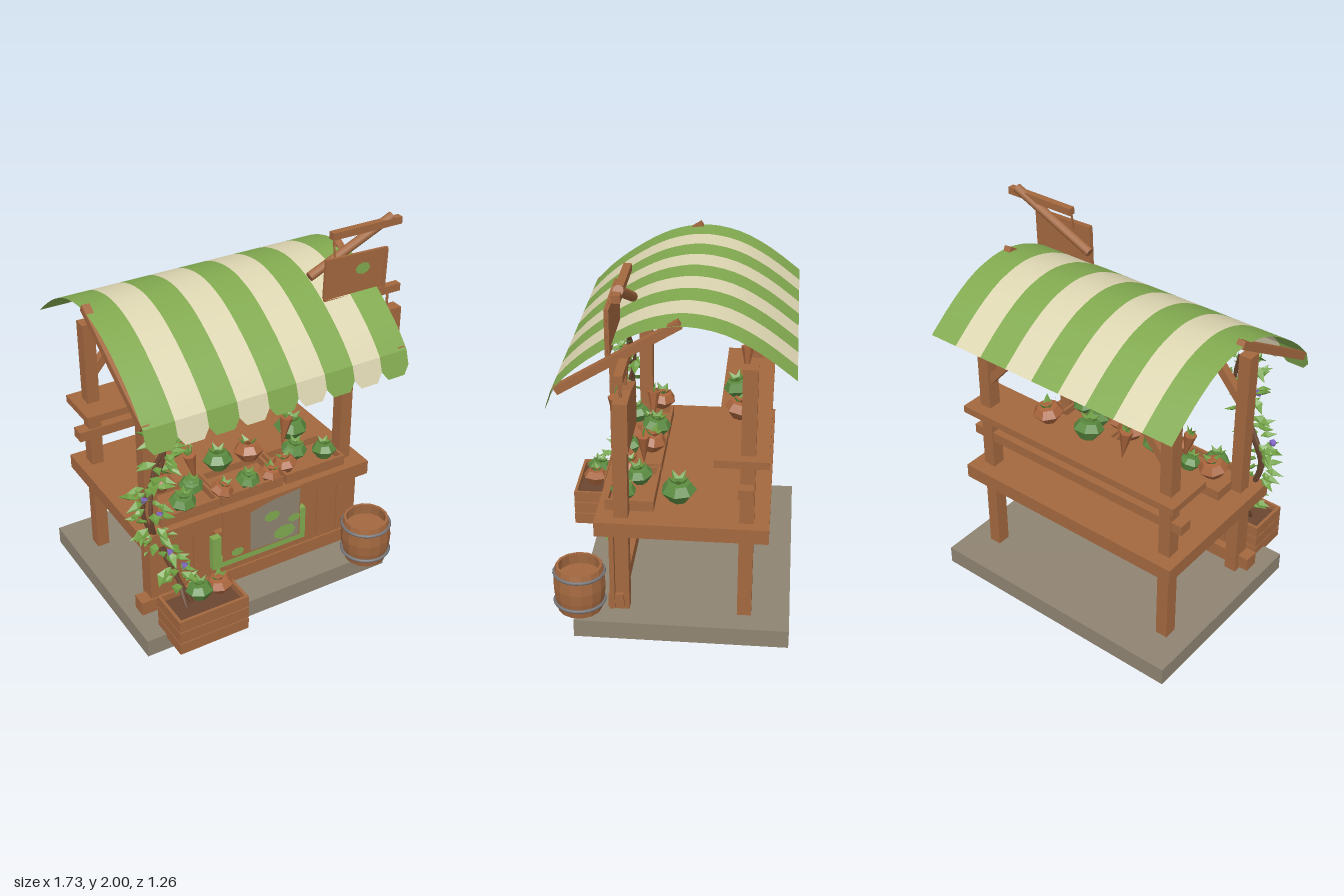
import * as THREE from 'three';

const mat = (name, color, side = THREE.FrontSide) => {
  const m = new THREE.MeshStandardMaterial({ color, side });
  m.name = name;
  return m;
};
const V = (x, y, z) => new THREE.Vector3(x, y, z);

export function createModel() {
  const root = new THREE.Group();
  root.name = 'marketStall';
  const D = THREE.DoubleSide;
  const wood = mat('wood', 0xa3683f), stone = mat('stone', 0x8f8472);
  const green = mat('awningGreen', 0x82aa50, D), cream = mat('awningCream', 0xddd6b2, D);
  const leafMat = mat('leafGreen', 0x6f9f42, D), bulbGreen = mat('vegetableGreen', 0x5a8a40);
  const rootBrown = mat('rootBrown', 0xa8643c), iron = mat('iron', 0x77777a);
  const violet = mat('flowerViolet', 0x8468c8, D), stem = mat('vineBrown', 0x6b4630);

  let seed = 7;
  const rnd = (a, b) => {
    seed = (seed * 16807) % 2147483647;
    return a + (b - a) * seed / 2147483647;
  };
  const add = (name, geo, material, parent = root) => {
    const m = new THREE.Mesh(geo, material);
    m.name = name;
    parent.add(m);
    return m;
  };
  const group = (name, parent = root) => {
    const g = new THREE.Group();
    g.name = name;
    parent.add(g);
    return g;
  };
  // Box given by its limits on each axis
  const box = (name, x0, x1, y0, y1, z0, z1, material = wood, parent = root) => {
    const m = add(name, new THREE.BoxGeometry(x1 - x0, y1 - y0, z1 - z0), material, parent);
    m.position.set((x0 + x1) / 2, (y0 + y1) / 2, (z0 + z1) / 2);
    return m;
  };
  // Square beam or round pole between two points
  const beam = (name, a, b, size, round = false, parent = root) => {
    const len = a.distanceTo(b);
    const geo = round ? new THREE.CylinderGeometry(size / 2, size / 2, len, 10) : new THREE.BoxGeometry(size, len, size);
    const m = add(name, geo, wood, parent);
    m.position.copy(a).lerp(b, 0.5);
    m.quaternion.setFromUnitVectors(V(0, 1, 0), b.clone().sub(a).normalize());
    return m;
  };
  const faceted = g => {
    const n = g.index ? g.toNonIndexed() : g;
    n.computeVertexNormals();
    return n;
  };

  // Frame: base, posts, counter, shelf
  box('base', -0.82, 0.665, 0, 0.1, -0.63, 0.48, stone);
  for (const x of [-0.665, 0.507]) {
    const s = x < 0 ? 1 : -1;
    for (const z of [0.24, -0.395]) {
      box('post', x - 0.034, x + 0.034, 0.1, 1.5, z - 0.037, z + 0.037);
      beam('brace', V(x, 1.18, z), V(x + s * 0.2, 1.41, z), 0.045);
    }
  }
  box('counterTop', -0.76, 0.6, 0.575, 0.655, -0.51, 0.37);
  box('shelf', -0.76, 0.6, 1.0, 1.04, -0.5, -0.23);
  box('backRail', -0.76, 0.6, 0.825, 0.88, -0.425, -0.35);
  box('frontRail', -0.76, 0.56, 0.12, 0.2, 0.23, 0.31);
  for (let i = 0; i < 10; i++) {
    const x = -0.7 + i * 0.128;
    box('frontPlank', x, x + 0.122, 0.12 + (i % 3) * 0.006, 0.58, 0.275, 0.3);
  }

  // Striped awning with scalloped front
  const awning = group('awning');
  const curve = new THREE.SplineCurve([[-0.615, 1.51], [-0.45, 1.635], [-0.28, 1.725], [-0.1, 1.76], [0.06, 1.738],
    [0.2, 1.68], [0.35, 1.585], [0.46, 1.495], [0.54, 1.41]].map(p => new THREE.Vector2(...p)));
  const w = 1.485 / 9;
  for (let i = 0; i < 9; i++) {
    const x = -0.82 + i * w, m = i % 2 ? cream : green;
    const strip = new THREE.PlaneGeometry(w, 1, 1, 24), p = strip.attributes.position;
    for (let k = 0; k < p.count; k++) {
      const c = curve.getPoint(0.5 - p.getY(k));
      p.setXYZ(k, x + w / 2 + p.getX(k), c.y, c.x);
    }
    strip.computeVertexNormals();
    add('awningStripe', strip, m, awning);
    const s = new THREE.Shape([[0, 1.41], [0, 1.335], [0.2, 1.29], [0.8, 1.29], [1, 1.335], [1, 1.41]]
      .map(q => new THREE.Vector2(x + q[0] * w, q[1])));
    const flap = new THREE.ShapeGeometry(s), f = flap.attributes.position;
    for (let k = 0; k < f.count; k++) f.setZ(k, 0.54 + (1.41 - f.getY(k)) * 0.33);
    flap.computeVertexNormals();
    add('scallop', flap, m, awning);
  }
  for (const x of [-0.8, 0.64]) beam('awningRafter', V(x, 1.405, 0.52), V(x, 1.765, -0.07), 0.042);

  // Roof sign on crossed poles
  const sign = group('roofSign');
  beam('slantedPole', V(0.3, 1.755, 0.19), V(0.79, 1.975, 0.19), 0.05, true, sign);
  beam('crossPole', V(0.42, 1.95, 0.195), V(0.84, 1.95, 0.195), 0.038, false, sign);
  const board = group('signBoard', sign);
  board.position.set(0.53, 1.74, 0.257);
  board.rotation.z = -0.03;
  box('panel', -0.185, 0.185, -0.115, 0.115, -0.01, 0.006, wood, board);
  for (const s of [-1, 1]) {
    box('trim', -0.185, 0.185, s * 0.11 - 0.008, s * 0.11 + 0.008, 0, 0.012, wood, board);
    box('trim', s * 0.18 - 0.008, s * 0.18 + 0.008, -0.11, 0.11, 0, 0.012, wood, board);
  }
  const patch = add('paintedLeaf', new THREE.CircleGeometry(0.045, 8), green, board);
  patch.position.set(0.04, 0.03, 0.008);
  patch.scale.y = 0.7;
  beam('hanger', V(0.43, 1.84, 0.22), V(0.43, 1.94, 0.2), 0.008, false, sign);

  // Hanging side sign
  const side = group('sideSign');
  beam('arm', V(0.5, 1.57, 0.19), V(0.86, 1.57, 0.19), 0.042, false, side);
  beam('hanger', V(0.795, 1.45, 0.19), V(0.795, 1.56, 0.19), 0.014, true, side);
  beam('hanger', V(0.62, 1.43, 0.19), V(0.62, 1.56, 0.19), 0.014, true, side);
  const outline = new THREE.Shape([[0.54, 1.2], [0.87, 1.2], [0.87, 1.455], [0.72, 1.455], [0.54, 1.42]]
    .map(p => new THREE.Vector2(...p)));
  add('panel', new THREE.ExtrudeGeometry(outline, { depth: 0.07, bevelEnabled: false }), wood, side).position.z = 0.15;

  // Vegetables
  const leafGeo = new THREE.BufferGeometry();
  leafGeo.setAttribute('position', new THREE.Float32BufferAttribute(
    [0, 0, 0, 0.03, 0.035, -0.01, 0, 0.045, 0.006, 0, 0.1, -0.012, -0.03, 0.035, -0.01], 3));
  leafGeo.setIndex([0, 1, 2, 2, 1, 3, 0, 2, 4, 2, 3, 4]);
  const leafFlat = faceted(leafGeo);
  const bulbGeo = faceted(new THREE.LatheGeometry([[0, 0], [0.04, 0.008], [0.082, 0.062], [0.055, 0.1], [0, 0.108]]
    .map(p => new THREE.Vector2(...p)), 7));
  const bulb = (x, y, z, brown, scale = 1) => {
    const g = group('vegetable');
    g.position.set(x, y, z);
    g.rotation.set(rnd(-0.2, 0.3), rnd(0, 6), rnd(-0.25, 0.25));
    g.scale.setScalar(scale);
    add('bulb', bulbGeo, brown ? rootBrown : bulbGreen, g);
    for (let i = 0; i < 5; i++) {
      const l = add('sprout', leafFlat, brown ? rootBrown : bulbGreen, g);
      l.material = brown && i % 2 ? rootBrown : leafMat;
      l.position.set(0, 0.085, 0);
      l.rotation.set(0.9, i * 1.26, 0, 'YXZ');
      l.scale.setScalar(0.75);
    }
  };
  [[-0.56, 0.74, 0.15, 1], [-0.2, 0.745, 0.14, 0], [-0.02, 0.745, 0.15, 1], [0.36, 0.66, -0.04, 0, 1.15],
    [-0.49, 0.68, 0.27, 0, 0.9], [-0.38, 0.69, 0.16, 0, 0.8], [-0.27, 0.68, 0.27, 1, 0.8], [-0.1, 0.68, 0.26, 0, 0.8],
    [0.03, 0.68, 0.27, 1, 0.8], [0.15, 0.68, 0.25, 1, 0.85], [0.24, 0.69, 0.17, 0, 0.9], [0.39, 0.68, 0.25, 0, 0.85],
    [-0.1, 1.05, -0.33, 0], [0.15, 1.05, -0.33, 1], [-0.53, 0.29, 0.52, 0, 0.9], [-0.41, 0.29, 0.52, 1, 0.9]]
    .forEach(a => bulb(...a));
  const carrot = (x, y, z, tilt) => {
    const g = group('carrot');
    g.position.set(x, y, z);
    g.rotation.z = tilt;
    add('carrotRoot', faceted(new THREE.ConeGeometry(0.036, 0.18, 6)), rootBrown, g).rotation.x = Math.PI;
    for (const s of [-1, 0, 1]) {
      const l = add('carrotLeaf', leafFlat, leafMat, g);
      l.position.y = 0.08;
      l.rotation.z = s * 0.4;
      l.scale.set(0.4, 0.7, 0.6);
    }
  };
  [[-0.35, 1.14, -0.35, 0.15], [-0.37, 0.83, 0.17, 0.2], [0.19, 0.86, 0.16, -0.15], [0.71, 1.33, 0.225, -0.1]]
    .forEach(a => carrot(...a));

  // Slatted trays and planter: four walls of slats and a floor
  const crate = (name, x0, x1, y0, y1, z0, z1, rows) => {
    const g = group(name), h = (y1 - y0) / rows, t = 0.016;
    box('floor', x0 + t, x1 - t, y0, y0 + t, z0 + t, z1 - t, wood, g);
    for (let i = 0; i < rows; i++) {
      const a = y0 + i * h, b = a + h - 0.006;
      for (const z of [z0, z1 - t]) box('slat', x0, x1, a, b, z, z + t, wood, g);
      for (const x of [x0, x1 - t]) box('slat', x, x + t, a, b, z0 + t, z1 - t, wood, g);
    }
    return g;
  };
  [[-0.64, -0.3], [-0.29, 0.08], [0.1, 0.47]].forEach(([a, b]) => crate('tray', a, b, 0.656, 0.72, 0.08, 0.33, 1));
  crate('planter', -0.71, -0.31, 0.08, 0.295, 0.39, 0.632, 3);
  box('soil', -0.69, -0.33, 0.2, 0.255, 0.41, 0.615, stem);

  // Notice cloth with a green frame
  const notice = group('notice');
  box('cloth', -0.315, 0.16, 0.34, 0.657, 0.372, 0.38, wood, notice);
  const sheet = new THREE.Shape([[-0.15, 0.35], [0.15, 0.345], [0.155, 0.645], [-0.02, 0.63], [-0.15, 0.6]]
    .map(p => new THREE.Vector2(...p)));
  add('sheet', new THREE.ShapeGeometry(sheet), stone, notice).position.z = 0.383;
  [[0.06, 0.4, 0.07], [-0.02, 0.53, 0.05], [-0.23, 0.38, 0.04], [0.12, 0.47, 0.04]].forEach(([x, y, r]) => {
    const c = add('paintPatch', new THREE.CircleGeometry(r, 7), green, notice);
    c.position.set(x, y, 0.386);
    c.scale.y = 0.65;
  });
  box('frameBottom', -0.37, 0.2, 0.3, 0.345, 0.335, 0.372, green, notice);
  box('frameLeft', -0.37, -0.32, 0.345, 0.5, 0.335, 0.372, green, notice);
  box('frameRight', 0.16, 0.2, 0.345, 0.5, 0.335, 0.372, green, notice);
  box('frameBack', -0.33, 0.18, 0.33, 0.5, 0.3, 0.335, wood, notice);

  // Barrel, hollow at the top, with iron hoops
  const barrel = group('barrel');
  barrel.position.set(0.548, 0.1, 0.462);
  barrel.rotation.z = 0.03;
  const staves = [[0, 0.005], [0.115, 0.005], [0.132, 0.09], [0.137, 0.15], [0.132, 0.22], [0.122, 0.262],
    [0.108, 0.262], [0.112, 0.2], [0, 0.2]].map(p => new THREE.Vector2(...p));
  add('staves', faceted(new THREE.LatheGeometry(staves, 14)), wood, barrel);
  for (const y of [0.055, 0.225]) {
    const hoop = add('hoop', new THREE.TorusGeometry(0.13, 0.009, 6, 24), iron, barrel);
    hoop.rotation.x = Math.PI / 2;
    hoop.position.y = y;
  }

  // Climbing vine with leaves and flowers
  const vine = group('vine');
  const paths = [
    [[-0.6, 0.25, 0.5], [-0.61, 0.45, 0.38], [-0.74, 0.8, 0.33], [-0.62, 1.08, 0.34], [-0.63, 1.28, 0.33], [-0.6, 1.48, 0.32]],
    [[-0.56, 0.25, 0.48], [-0.67, 0.58, 0.35], [-0.71, 0.76, 0.36], [-0.66, 1.0, 0.31], [-0.54, 1.24, 0.33], [-0.58, 1.44, 0.3]]
  ].map(p => new THREE.CatmullRomCurve3(p.map(q => V(...q))));
  for (const path of paths) {
    add('vineStem', new THREE.TubeGeometry(path, 30, 0.012, 6), stem, vine);
    for (let i = 0; i < 46; i++) {
      const l = add('vineLeaf', leafFlat, leafMat, vine);
      const p = path.getPoint(0.08 + 0.92 * i / 46), a = rnd(-2, 2);
      l.position.set(p.x + Math.sin(a) * 0.035, p.y + rnd(-0.01, 0.03), p.z + Math.cos(a) * 0.025);
      l.rotation.set(rnd(1.2, 2.4), a, rnd(-0.4, 0.4), 'YXZ');
      l.scale.setScalar(rnd(0.75, 1.1));
    }
  }
  [[-0.76, 0.91, 0.38], [-0.69, 0.81, 0.4], [-0.57, 0.46, 0.42], [-0.65, 1.18, 0.38], [-0.64, 0.56, 0.4]].forEach(q => {
    const f = add('flower', new THREE.ConeGeometry(0.022, 0.03, 5, 1, true), violet, vine);
    f.position.set(...q);
    f.rotation.set(-1.2, 0, 0.3);
  });
  return root;
}
